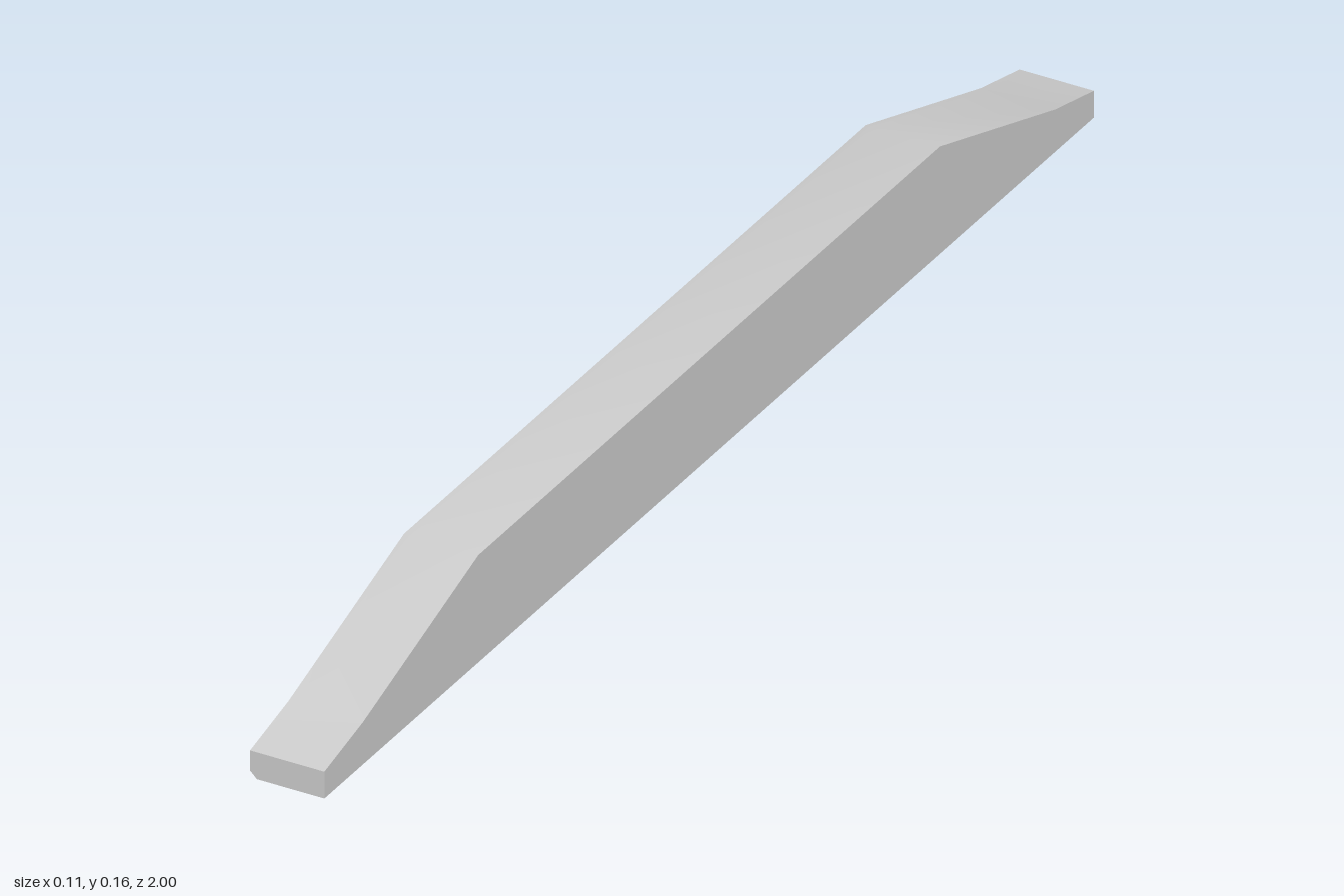
import * as THREE from 'three';
import { mergeGeometries, toCreasedNormals } from 'three/addons/utils/BufferGeometryUtils.js';

const HALF = 0.055;    // half width of the bar
const LIP = 0.01;      // recess depth and bottom chamfer
const SEAM = -HALF + LIP;
const WIN = { z: 0.457, y0: 0.04, y1: 0.119 };

// Side outline, drawn as (z, y)
function outline() {
  const end = [[1, 0], [1, 0.04], [0.9, 0.063], [0.6, 0.16]];
  const other = end.map(([z, y]) => [-z, y]).reverse();
  return new THREE.Shape([...end, ...other].map(([z, y]) => new THREE.Vector2(z, y)));
}

// Extrude the outline from x = start towards -x, leaving out the cap on the seam
function slab(shape, start, depth) {
  const geo = new THREE.ExtrudeGeometry(shape, { depth, bevelEnabled: false })
    .rotateY(-Math.PI / 2)
    .translate(start, 0, 0);
  const p = geo.attributes.position;
  const kept = [];
  for (let i = 0; i < p.count; i += 3) {
    const corners = [i, i + 1, i + 2];
    if (corners.every((k) => Math.abs(p.getX(k) - SEAM) < 1e-5)) continue;
    for (const k of corners) {
      // chamfer along the lower edge of the recessed side
      const chamfered = p.getX(k) < -HALF + 1e-5 && p.getY(k) < 1e-5;
      kept.push(p.getX(k), chamfered ? LIP : p.getY(k), p.getZ(k));
    }
  }
  const out = new THREE.BufferGeometry();
  out.setAttribute('position', new THREE.Float32BufferAttribute(kept, 3));
  return out;
}

export function createModel() {
  const group = new THREE.Group();
  group.name = 'taperedBar';

  // Bar: solid core plus a thin side layer with the recess opening
  const core = slab(outline(), HALF, 2 * HALF - LIP);
  const faceShape = outline();
  faceShape.holes.push(new THREE.Path([
    new THREE.Vector2(-WIN.z, WIN.y0),
    new THREE.Vector2(-WIN.z, WIN.y1),
    new THREE.Vector2(WIN.z, WIN.y1),
    new THREE.Vector2(WIN.z, WIN.y0),
  ]));
  const face = slab(faceShape, SEAM, LIP);
  const body = new THREE.Mesh(
    toCreasedNormals(mergeGeometries([core, face]), 0.5),
    new THREE.MeshStandardMaterial({ color: 0xcccccc }),
  );
  body.name = 'body';

  // Dark panel at the bottom of the recess
  const panel = new THREE.Mesh(
    new THREE.PlaneGeometry(2 * WIN.z, WIN.y1 - WIN.y0),
    new THREE.MeshStandardMaterial({ color: 0x3a3a3a }),
  );
  panel.name = 'recessPanel';
  panel.rotation.y = -Math.PI / 2;
  panel.position.set(SEAM, (WIN.y0 + WIN.y1) / 2, 0);

  group.add(body, panel);
  return group;
}
